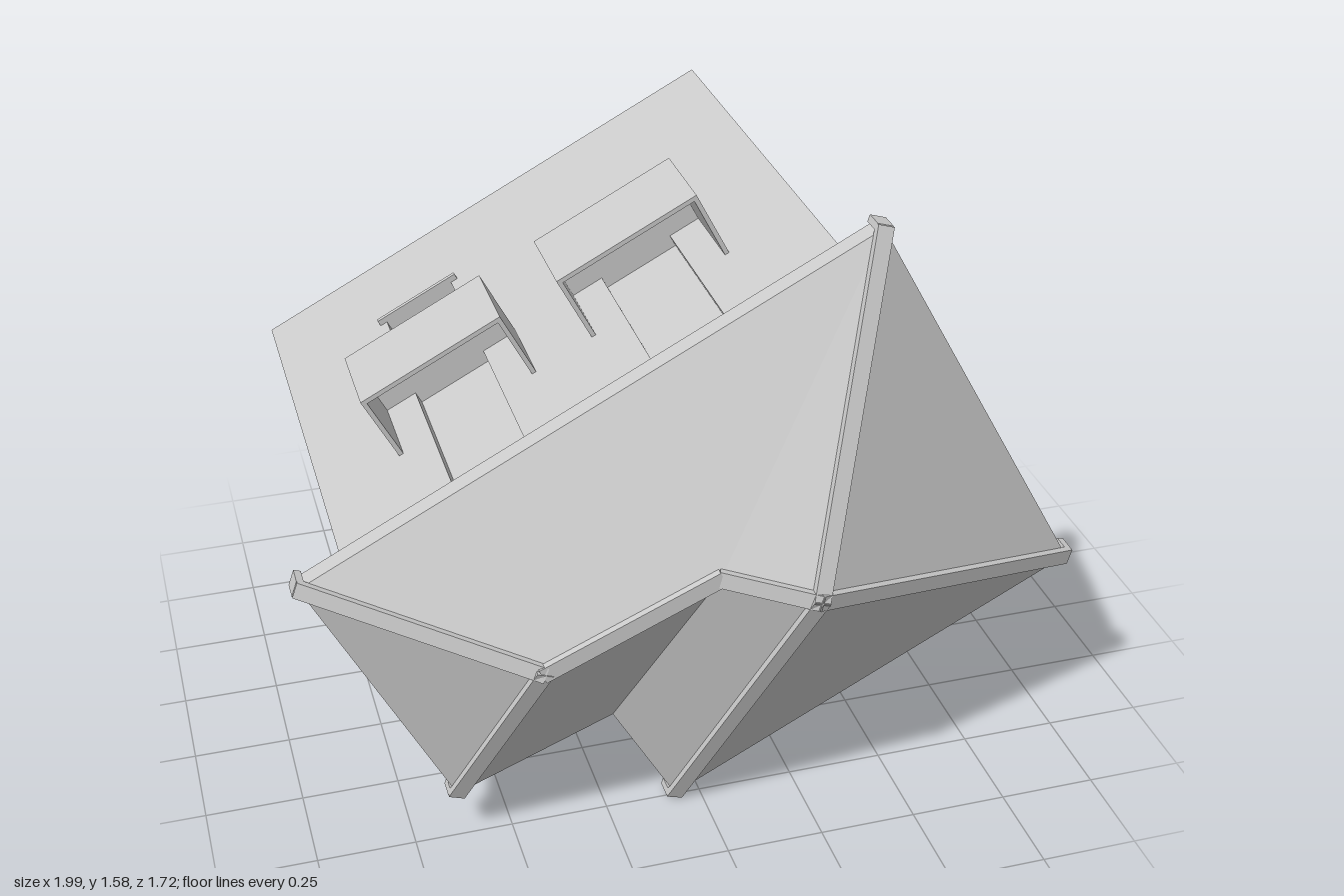
import * as THREE from 'three';

const V2 = (x, y) => new THREE.Vector2(x, y);
const stone = new THREE.MeshStandardMaterial({ color: 0xcccccc, side: THREE.DoubleSide });
stone.name = 'light grey plaster';

// The house lies on its side: its own "up" is +z, its plan is in x and y.
const BACK = -0.86, TOP = 0.5, RECESS = 0.033;
const EAVE_LOW = 0.465, EAVE = 0.515;

// Eave outline, counter-clockwise from +z, and ridge points
const eave = [[-0.985, 0.835], [-0.64, 0.15], [-0.235, 0.313], [-0.07, 0.02], [0.98, 0.567], [0.42, 1.57]].map(p => V2(...p));
const ridge = [[-0.46, 0.65, 0.745], [-0.037, 0.845, 0.757], [0.178, 0.8, 0.85]].map(p => new THREE.Vector3(...p));

// Move every side of a plan outline inwards by d
function inset(points, d) {
  const n = points.length;
  const inward = i => {
    const e = points[(i + 1) % n].clone().sub(points[i]).normalize();
    return V2(-e.y, e.x);
  };
  return points.map((p, i) => {
    const a = inward((i + n - 1) % n), b = inward(i);
    return p.clone().addScaledVector(a.clone().add(b), d / (1 + a.dot(b)));
  });
}

function add(parent, name, geometry, x = 0, y = 0, z = 0) {
  const mesh = new THREE.Mesh(geometry, stone);
  mesh.name = name;
  mesh.position.set(x, y, z);
  parent.add(mesh);
  return mesh;
}

function polygons(faces) {
  const out = [];
  for (const f of faces)
    for (let i = 1; i < f.length - 1; i++)
      for (const v of [f[0], f[i], f[i + 1]]) out.push(v.x, v.y, v.z);
  const g = new THREE.BufferGeometry();
  g.setAttribute('position', new THREE.Float32BufferAttribute(out, 3));
  g.computeVertexNormals();
  return g;
}

function rect(shape, x0, y0, x1, y1) {
  shape.moveTo(x0, y0).lineTo(x1, y0).lineTo(x1, y1).lineTo(x0, y1).closePath();
  return shape;
}

// One wall with openings; local x runs along it, y is up the house, z is outward
function makeWall(a, b, openings) {
  const wall = new THREE.Group();
  wall.name = 'wall';
  const dir = b.clone().sub(a), length = dir.length();
  dir.normalize();
  wall.applyMatrix4(new THREE.Matrix4().makeBasis(
    new THREE.Vector3(dir.x, dir.y, 0), new THREE.Vector3(0, 0, 1), new THREE.Vector3(dir.y, -dir.x, 0)
  ).setPosition(a.x, a.y, 0));

  const shape = rect(new THREE.Shape(), 0, BACK, length, TOP);
  for (const o of openings) {
    const x = o.t * length, w = 0.205;
    shape.holes.push(rect(new THREE.Path(), x - w / 2, o.low, x + w / 2, o.high));
    if (o.balcony) makeBalcony(wall, x);
    else add(wall, 'windowSill', new THREE.BoxGeometry(w + 0.04, 0.012, 0.05), x, o.low - 0.002, -0.009);
  }
  add(wall, 'wallFace', new THREE.ExtrudeGeometry(shape, { depth: RECESS, bevelEnabled: false }), 0, 0, -RECESS);
  return wall;
}

// Open-topped balcony with thin parapets
function makeBalcony(wall, x) {
  const w = 0.4, d = 0.187, h = 0.235, t = 0.012, low = -0.14;
  add(wall, 'balconyFloor', new THREE.BoxGeometry(w, t, d), x, low + t / 2, d / 2);
  add(wall, 'balconyFront', new THREE.BoxGeometry(w, h, t), x, low + h / 2, d - t / 2);
  for (const s of [-1, 1])
    add(wall, 'balconySide', new THREE.BoxGeometry(t, h, d), x + s * (w - t) / 2, low + h / 2, d / 2);
}

// Hip or ridge capping between two points
function makeCap(parent, a, b) {
  const along = b.clone().sub(a), length = along.length();
  along.normalize();
  const side = new THREE.Vector3(0, 0, 1).cross(along).normalize();
  const up = along.clone().cross(side);
  const cap = add(parent, 'ridgeCap', new THREE.BoxGeometry(0.042, 0.018, length + 0.012));
  cap.applyMatrix4(new THREE.Matrix4().makeBasis(side, up, along).setPosition(a.clone().add(b).multiplyScalar(0.5)));
}

export function createModel() {
  const house = new THREE.Group();
  house.name = 'house';

  // Walls: paired windows in the middle, doors with balconies on the long side
  const body = inset(eave, 0.092);
  const lower = t => ({ t, low: -0.54, high: -0.24 });
  const upper = t => ({ t, low: 0.09, high: 0.39 });
  const door = t => ({ t, low: -0.128, high: 0.36, balcony: true });
  const pair = [lower(0.5), upper(0.5)];
  const openings = [pair, [], [], pair, pair, [lower(0.7), door(0.3), door(0.7)]];
  body.forEach((p, i) => house.add(makeWall(p, body[(i + 1) % 6], openings[i])));

  // Solid core behind the openings
  add(house, 'core', new THREE.ExtrudeGeometry(new THREE.Shape(inset(body, RECESS)),
    { depth: TOP - BACK, bevelEnabled: false }), 0, 0, BACK);

  // Hipped roof, open underneath
  const roof = new THREE.Group();
  roof.name = 'roof';
  house.add(roof);
  const [p1, p6, p5, p4, p3, p2] = eave.map(p => new THREE.Vector3(p.x, p.y, EAVE));
  const [r1, r2, r3] = ridge;
  add(roof, 'roofSlopes', polygons([
    [r2, r3, p2, p1, r1], [p6, p5, r2, r1], [p5, p4, r3, r2], [p4, p3, r3], [p3, p2, r3], [p1, p6, r1]
  ]));

  // Fascia around the eaves
  const at = (p, z) => new THREE.Vector3(p.x, p.y, z);
  add(roof, 'fascia', polygons(eave.map((a, i) => {
    const b = eave[(i + 1) % 6];
    return [at(a, EAVE_LOW), at(b, EAVE_LOW), at(b, EAVE), at(a, EAVE)];
  })));

  // Cappings on the hips and ridges, with corner ends down the fascia
  for (const [a, b] of [[p1, r1], [p6, r1], [r1, r2], [r2, r3], [p2, r3], [p3, r3], [p4, r3]]) makeCap(roof, a, b);
  for (const [p, r] of [[p1, r1], [p6, r1], [p2, r3], [p3, r3], [p4, r3]]) {
    const end = add(roof, 'capEnd', new THREE.BoxGeometry(0.018, 0.042, EAVE - EAVE_LOW), p.x, p.y, (EAVE + EAVE_LOW) / 2);
    end.rotation.z = Math.atan2(r.y - p.y, r.x - p.x);
  }
  return house;
}
